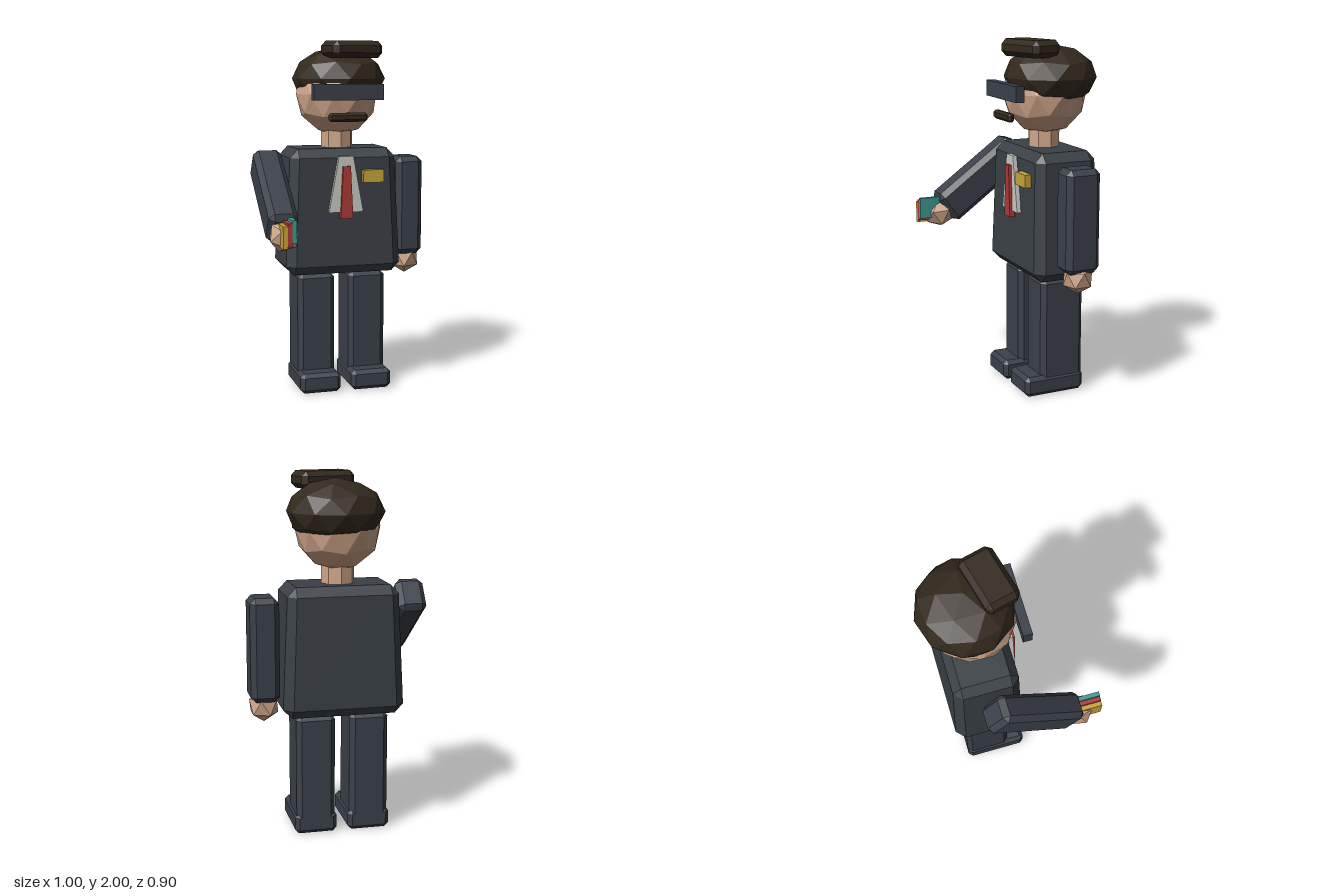
import * as THREE from 'three';
import { ConvexGeometry } from 'three/addons/geometries/ConvexGeometry.js';

const mat = (name, color) => {
  const m = new THREE.MeshStandardMaterial({ color, flatShading: true });
  m.name = name;
  return m;
};

// Box with chamfered edges; taper is the scale of the top relative to the bottom
function chamferBox(w, h, d, c, taper = 1) {
  const points = [];
  for (const sx of [-1, 1]) for (const sy of [-1, 1]) for (const sz of [-1, 1]) {
    for (let axis = 0; axis < 3; axis++) {
      const [x, y, z] = [w, h, d].map((s, i) => s / 2 - (i === axis ? 0 : c));
      const k = 1 + (taper - 1) * (sy * y / h + 0.5);
      points.push(new THREE.Vector3(sx * x * k, sy * y, sz * z * k));
    }
  }
  return new ConvexGeometry(points);
}

// Faceted ball with one vertex pointing straight up
const facetBall = (r, detail) =>
  new THREE.IcosahedronGeometry(r, detail).rotateZ(-Math.atan(2 / (1 + Math.sqrt(5))));

// Flat trapezoid with its back at z = 0
function trapezoid(topHalf, bottomHalf, y0, y1, depth) {
  const shape = new THREE.Shape([
    new THREE.Vector2(-bottomHalf, y0), new THREE.Vector2(bottomHalf, y0),
    new THREE.Vector2(topHalf, y1), new THREE.Vector2(-topHalf, y1),
  ]);
  return new THREE.ExtrudeGeometry(shape, { depth, bevelEnabled: false });
}

export function createModel() {
  const model = new THREE.Group();
  const jacket = mat('jacket', 0x3a4046);
  const cloth = mat('dark cloth', 0x3b404a);
  const skin = mat('skin', 0xcfa689);
  const hairMat = mat('hair', 0x33291d);
  const white = mat('shirt', 0xcacac5);
  const red = mat('red', 0xb03a38);
  const yellow = mat('yellow', 0xc9a53c);
  const teal = mat('teal', 0x3f9c94);

  const add = (name, geometry, material, x, y, z, parent = model) => {
    const mesh = new THREE.Mesh(geometry, material);
    mesh.name = name;
    mesh.position.set(x, y, z);
    parent.add(mesh);
    return mesh;
  };

  // Legs and shoes
  for (const [side, x] of [['left', 0.148], ['right', -0.152]]) {
    add(side + 'Leg', chamferBox(0.217, 0.62, 0.26, 0.027), cloth, x, 0.375, -0.165);
    add(side + 'Shoe', chamferBox(0.236, 0.115, 0.36, 0.022), cloth, x, 0.063, -0.115);
  }

  // Jacket with shirt front, tie and badge
  add('torso', chamferBox(0.676, 0.715, 0.4, 0.05, 0.9), jacket, -0.001, 1.043, -0.165);
  add('shirtFront', trapezoid(0.042, 0.1, 1.045, 1.36, 0.025), white, -0.001, 0, 0.023);
  add('tie', trapezoid(0.022, 0.036, 1.01, 1.305, 0.032), red, -0.001, 0, 0.033);
  add('badge', new THREE.BoxGeometry(0.12, 0.072, 0.04), yellow, 0.158, 1.246, 0.037);

  // Arms: the left hangs down, the right reaches forward
  for (const [side, x, y, z, angle] of [
    ['left', 0.418, 1.052, -0.168, 0], ['right', -0.421, 1.16, 0.058, -0.94],
  ]) {
    const arm = new THREE.Group();
    arm.name = side + 'Arm';
    arm.position.set(x, y, z);
    arm.rotation.x = angle;
    add(side + 'Sleeve', chamferBox(0.16, 0.575, 0.2, 0.03), cloth, 0, 0, 0, arm);
    add(side + 'Hand', facetBall(0.09, 0), skin, 0, -0.322, 0, arm);
    model.add(arm);
  }

  // Fan of cards in the right hand
  [[yellow, -0.441, 0.98], [red, -0.416, 0.995], [teal, -0.392, 1.01]].forEach(([m, x, y], i) =>
    add('card' + (i + 1), new THREE.BoxGeometry(0.025, 0.12, 0.16), m, x, y, 0.368));

  // Neck and head
  add('neck', new THREE.CylinderGeometry(0.092, 0.092, 0.16, 8), skin, 0, 1.44, -0.163);
  add('head', facetBall(0.238, 1).rotateY(Math.PI / 2), skin, 0, 1.703, -0.165);

  // Hair cap and forelock
  add('hair', facetBall(1, 1).scale(0.268, 0.178, 0.261), hairMat, 0.018, 1.79, -0.19);
  const forelock = add('forelock', chamferBox(0.318, 0.095, 0.19, 0.028), hairMat, 0.058, 1.953, -0.05);
  forelock.rotation.y = 0.25;

  // Dark glasses and moustache
  add('glasses', new THREE.BoxGeometry(0.4, 0.088, 0.05), cloth, 0, 1.718, 0.076);
  add('moustache', chamferBox(0.22, 0.05, 0.038, 0.013), hairMat, -0.001, 1.58, 0.083);

  return model;
}
